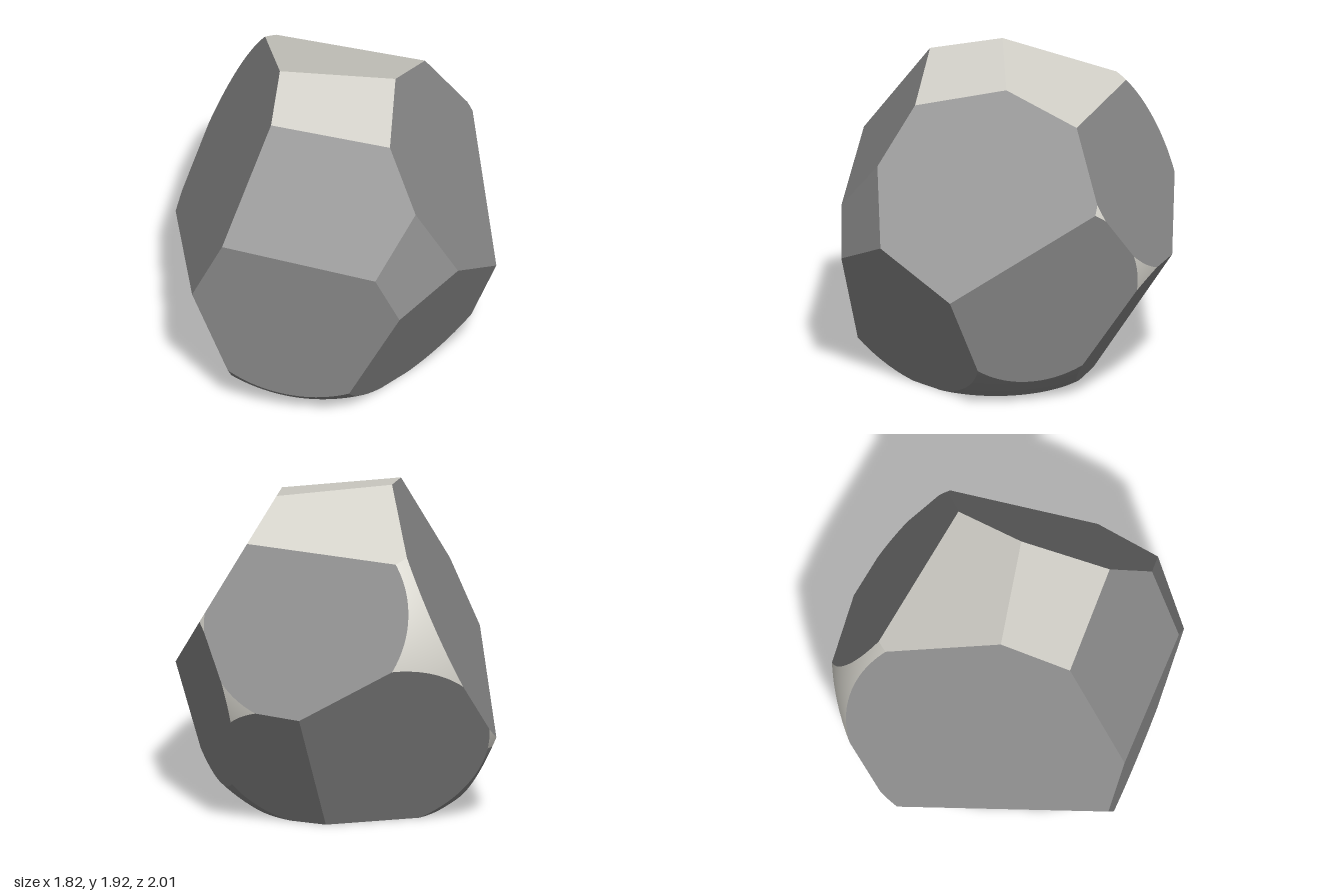
import * as THREE from 'three';

const V = (p) => new THREE.Vector3(...p);
const CENTRE = V([-0.08, 0.92, 0.06]);
const RADIUS = 1.095;

// Each flat cut through the ball: name, three points on it
const CUTS = [
  ['topFacet', [-0.33, 1.925, 0], [0.35, 1.86, 0.035], [-0.29, 1.65, -0.72]],
  ['topFrontFacet', [-0.33, 1.925, 0], [0.28, 1.755, 0.565], [-0.41, 1.845, 0.42]],
  ['frontUpperFacet', [-0.41, 1.845, 0.42], [0.28, 1.755, 0.565], [0.165, 1.095, 0.99]],
  ['frontLowerFacet', [-0.72, 1.245, 0.785], [-0.895, 0.85, 0.71], [0.305, 0.81, 1.0]],
  ['frontCornerFacet', [0.165, 1.095, 0.99], [0.42, 1.415, 0.8], [0.665, 1.01, 0.8]],
  ['leftUpperFacet', [0.28, 1.755, 0.565], [0.665, 1.01, 0.8], [0.84, 1.2, -0.38]],
  ['leftFrontLowerFacet', [0.305, 0.81, 1.0], [0.665, 1.01, 0.8], [0.03, 0.2, 0.87]],
  ['leftLowerFacet', [0.91, 0.77, 0.36], [0.84, 1.2, -0.38], [0.79, 0.3, 0.25]],
  ['backUpperFacet', [-0.29, 1.65, -0.72], [0.52, 1.68, -0.38], [-0.21, 1.05, -1.0]],
  ['backLeftLowerFacet', [0.28, 0.77, -0.95], [0.668, 0.7, -0.71], [0.636, 0.18, -0.36]],
  ['backLowerFacet', [0.28, 0.77, -0.95], [-0.91, 0.51, -0.58], [0.09, 0, -0.5]],
  ['rightUpperFacet', [-0.33, 1.925, 0], [-0.41, 1.845, 0.42], [-0.72, 1.245, 0.785]],
  ['rightLowerFacet', [-0.895, 0.85, 0.71], [-0.91, 0.52, -0.58], [-0.66, 0.22, 0.7165]],
  ['baseFacet', [0, 0, 0], [1, 0, 0], [0, 0, 1]],
];

// Plane through three points, facing away from the centre
function cutPlane(a, b, c) {
  const plane = new THREE.Plane().setFromCoplanarPoints(V(a), V(b), V(c));
  return plane.distanceToPoint(CENTRE) > 0 ? plane.negate() : plane;
}

// Keep the part of a polygon behind a plane
function clip(poly, plane) {
  const out = [];
  poly.forEach((p, i) => {
    const q = poly[(i + 1) % poly.length];
    const dp = plane.distanceToPoint(p), dq = plane.distanceToPoint(q);
    if (dp <= 0) out.push(p);
    if ((dp < 0 && dq > 0) || (dp > 0 && dq < 0)) out.push(p.clone().lerp(q, dp / (dp - dq)));
  });
  return out;
}

// Fan-triangulated polygons with a normal chosen per point
function polygonMesh(name, polys, normalAt, material) {
  const pos = [], nor = [];
  for (const poly of polys)
    for (let i = 1; i + 1 < poly.length; i++)
      for (const p of [poly[0], poly[i], poly[i + 1]]) {
        pos.push(p.x, p.y, p.z);
        nor.push(...normalAt(p).toArray());
      }
  const geo = new THREE.BufferGeometry();
  geo.setAttribute('position', new THREE.Float32BufferAttribute(pos, 3));
  geo.setAttribute('normal', new THREE.Float32BufferAttribute(nor, 3));
  const mesh = new THREE.Mesh(geo, material);
  mesh.name = name;
  return mesh;
}

export function createModel() {
  const stone = new THREE.MeshStandardMaterial({ color: 0x8c8c8c });
  stone.name = 'grey stone';
  const pale = new THREE.MeshStandardMaterial({ color: 0xd6d4cc });
  pale.name = 'pale stone';

  const group = new THREE.Group();
  group.name = 'boulder';
  const planes = CUTS.map(([, a, b, c]) => cutPlane(a, b, c));

  // Flat facets: the disc of each cut, trimmed by all the others
  planes.forEach((plane, i) => {
    const n = plane.normal, h = -plane.distanceToPoint(CENTRE);
    const r = Math.sqrt(Math.max(0, RADIUS * RADIUS - h * h));
    const mid = CENTRE.clone().addScaledVector(n, h);
    const u = new THREE.Vector3(0.31, 0.52, 0.79).cross(n).normalize();
    const v = n.clone().cross(u);
    let poly = [];
    for (let k = 0; k < 128; k++) {
      const t = (k / 128) * Math.PI * 2;
      poly.push(mid.clone().addScaledVector(u, r * Math.cos(t)).addScaledVector(v, r * Math.sin(t)));
    }
    planes.forEach((other, j) => { if (j !== i) poly = clip(poly, other); });
    group.add(polygonMesh(CUTS[i][0], [poly], () => n, i < 2 ? pale : stone));
  });

  // Rounded skin left between the cuts
  const ball = new THREE.SphereGeometry(RADIUS, 128, 96).toNonIndexed();
  const at = ball.attributes.position;
  const upper = [], lower = [];
  for (let i = 0; i < at.count; i += 3) {
    let poly = [0, 1, 2].map((k) => new THREE.Vector3().fromBufferAttribute(at, i + k).add(CENTRE));
    for (const plane of planes) if (poly.length) poly = clip(poly, plane);
    if (poly.length > 2) (poly[0].y > 0.5 ? upper : lower).push(poly);
  }
  const radial = (p) => p.clone().sub(CENTRE).normalize();
  group.add(polygonMesh('upperSkin', upper, radial, pale));
  group.add(polygonMesh('lowerSkin', lower, radial, stone));
  return group;
}
